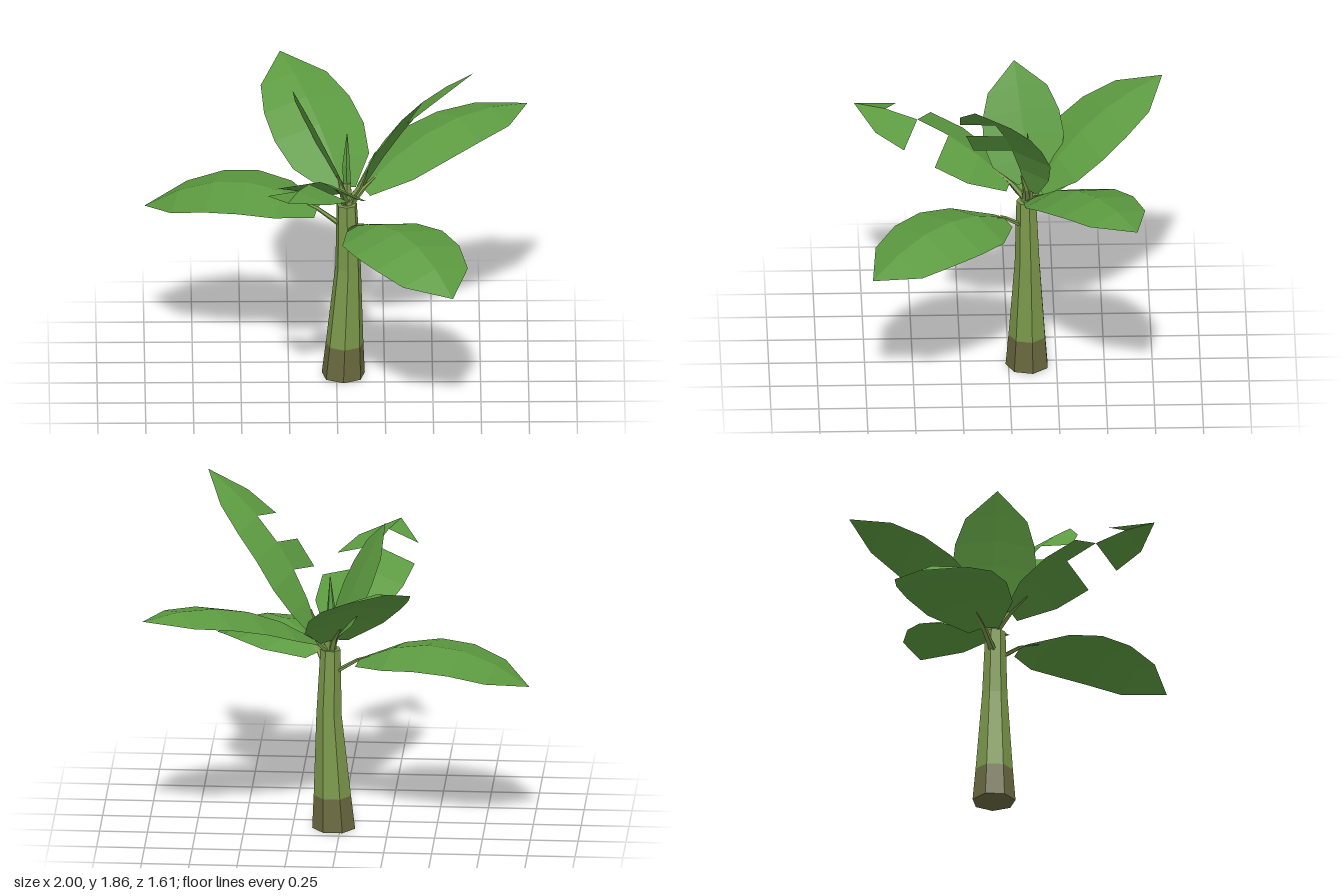
import * as THREE from 'three';

const make = (name, color, extra = {}) =>
  new THREE.MeshStandardMaterial({ name, color, ...extra });

const meshFrom = (geometry, material, name) => {
  geometry.computeVertexNormals();
  const mesh = new THREE.Mesh(geometry, material);
  mesh.name = name;
  return mesh;
};

// Tapered limb whose horizontal rings are centred on each point
function limb(centres, radii, sides, material, name) {
  const pos = [], index = [];
  centres.forEach((c, k) => {
    for (let i = 0; i < sides; i++) {
      const a = (i / sides) * Math.PI * 2;
      pos.push(c.x + Math.sin(a) * radii[k], c.y, c.z + Math.cos(a) * radii[k]);
    }
  });
  const top = (centres.length - 1) * sides;
  for (let k = 0; k < top; k += sides) {
    for (let i = 0; i < sides; i++) {
      const a = k + i, b = k + (i + 1) % sides;
      index.push(a, b, b + sides, a, b + sides, a + sides);
    }
  }
  // end caps as fans
  for (let i = 1; i < sides - 1; i++) {
    index.push(0, i + 1, i, top, top + i, top + i + 1);
  }
  const geo = new THREE.BufferGeometry();
  geo.setAttribute('position', new THREE.Float32BufferAttribute(pos, 3));
  geo.setIndex(index);
  return meshFrom(geo.toNonIndexed(), material, name);
}

// Arched midrib passing through start, middle and tip
function arch(start, middle, tip) {
  const control = middle.clone().multiplyScalar(2).addScaledVector(start, -0.5).addScaledVector(tip, -0.5);
  return new THREE.QuadraticBezierCurve3(start, control, tip);
}

// Blade folded along its midrib; torn lists missing panels on each side
function blade(rib, { width, droop, segments = 5, torn = [[], []] }, material) {
  const dir = rib.v2.clone().sub(rib.v0).setY(0).normalize();
  const side = new THREE.Vector3(-dir.z, 0, dir.x);
  const mids = rib.getPoints(segments);
  const halfWidth = (i) => {
    const t = i / segments;
    return width * (1 - t ** 6) * Math.min(1, 0.3 + 2.75 * t);
  };
  const edge = (i, s) => {
    const p = mids[i].clone().addScaledVector(side, s * halfWidth(i));
    p.y -= droop * halfWidth(i);
    return p;
  };
  const points = [];
  [-1, 1].forEach((s, half) => {
    for (let i = 0; i < segments; i++) {
      if (torn[half].includes(i)) continue;
      const a = mids[i], b = mids[i + 1], c = edge(i + 1, s), d = edge(i, s);
      points.push(...(s < 0 ? [a, b, d] : [a, d, b]));
      if (i < segments - 1) points.push(...(s < 0 ? [d, b, c] : [d, c, b]));
    }
  });
  return meshFrom(new THREE.BufferGeometry().setFromPoints(points), material, 'leafBlade');
}

const v = (x, y, z) => new THREE.Vector3(x, y, z);

const leaves = [
  { name: 'lowRightLeaf', width: 0.28, droop: 0.2,
    rib: arch(v(-0.1, 0.94, -0.13), v(-0.55, 1.05, -0.23), v(-1, 0.87, -0.32)) },
  { name: 'lowFrontLeaf', width: 0.28, droop: 0.25,
    rib: arch(v(0.12, 0.92, 0.03), v(0.37, 1, 0.375), v(0.6, 0.81, 0.72)) },
  { name: 'backLeftLeaf', width: 0.23, droop: 0.25,
    rib: arch(v(0.14, 1.05, -0.14), v(0.55, 1.29, -0.4), v(1, 1.3, -0.65)) },
  { name: 'backLeaf', width: 0.26, droop: 0.18,
    rib: arch(v(0.03, 1.05, -0.15), v(-0.12, 1.36, -0.44), v(-0.29, 1.53, -0.81)) },
  { name: 'frontTornLeaf', width: 0.23, droop: 0.32, torn: [[2], [3]],
    rib: arch(v(0.03, 1.08, -0.01), v(-0.12, 1.33, 0.39), v(-0.26, 1.4, 0.8)) },
  { name: 'tallTornLeaf', width: 0.22, droop: 0.22, segments: 6, torn: [[], [0, 1, 3]],
    rib: arch(v(0.12, 1.08, -0.09), v(0.34, 1.52, 0.03), v(0.71, 1.86, 0.19)) },
  { name: 'uprightLeaf', width: 0.22, droop: 0.15,
    rib: arch(v(0.03, 1.08, -0.11), v(-0.09, 1.37, -0.075), v(-0.23, 1.66, -0.035)) },
];

export function createModel() {
  const leafGreen = make('leaf green', 0x5c9a40, { side: THREE.DoubleSide });
  const stemGreen = make('stem green', 0x7a974a);
  const baseBrown = make('base brown', 0x69683f);
  const model = new THREE.Group();
  model.name = 'bananaPlant';

  // Trunk, slightly bent, with a darker foot
  const foot = v(0.042, 0.18, -0.1);
  model.add(limb([v(0.035, 0, -0.1), foot], [0.115, 0.1], 7, baseBrown, 'trunkBase'));
  model.add(limb([foot, v(0.06, 0.62, -0.1), v(0.053, 0.98, -0.095)],
    [0.1, 0.068, 0.054], 7, stemGreen, 'trunk'));
  model.add(limb([v(0.053, 0.94, -0.095), v(0.055, 1.1, -0.1)],
    [0.035, 0.022], 6, stemGreen, 'crownSheath'));

  // Furled young leaf at the centre
  model.add(limb([v(0.055, 1.05, -0.1), v(0.05, 1.2, -0.1), v(0.055, 1.38, -0.1)],
    [0.018, 0.022, 0.002], 5, leafGreen, 'furledLeaf'));

  // Leaves, each with a stalk rising from the trunk into the blade
  leaves.forEach((leaf) => {
    const group = new THREE.Group();
    group.name = leaf.name;
    const start = leaf.rib.v0;
    const end = leaf.rib.getPoint(0.12);
    end.y -= 0.01;
    group.add(limb([v(0.05, start.y - 0.1, -0.095), start, end],
      [0.024, 0.016, 0.005], 5, stemGreen, 'leafStalk'));
    group.add(blade(leaf.rib, leaf, leafGreen));
    model.add(group);
  });
  return model;
}
